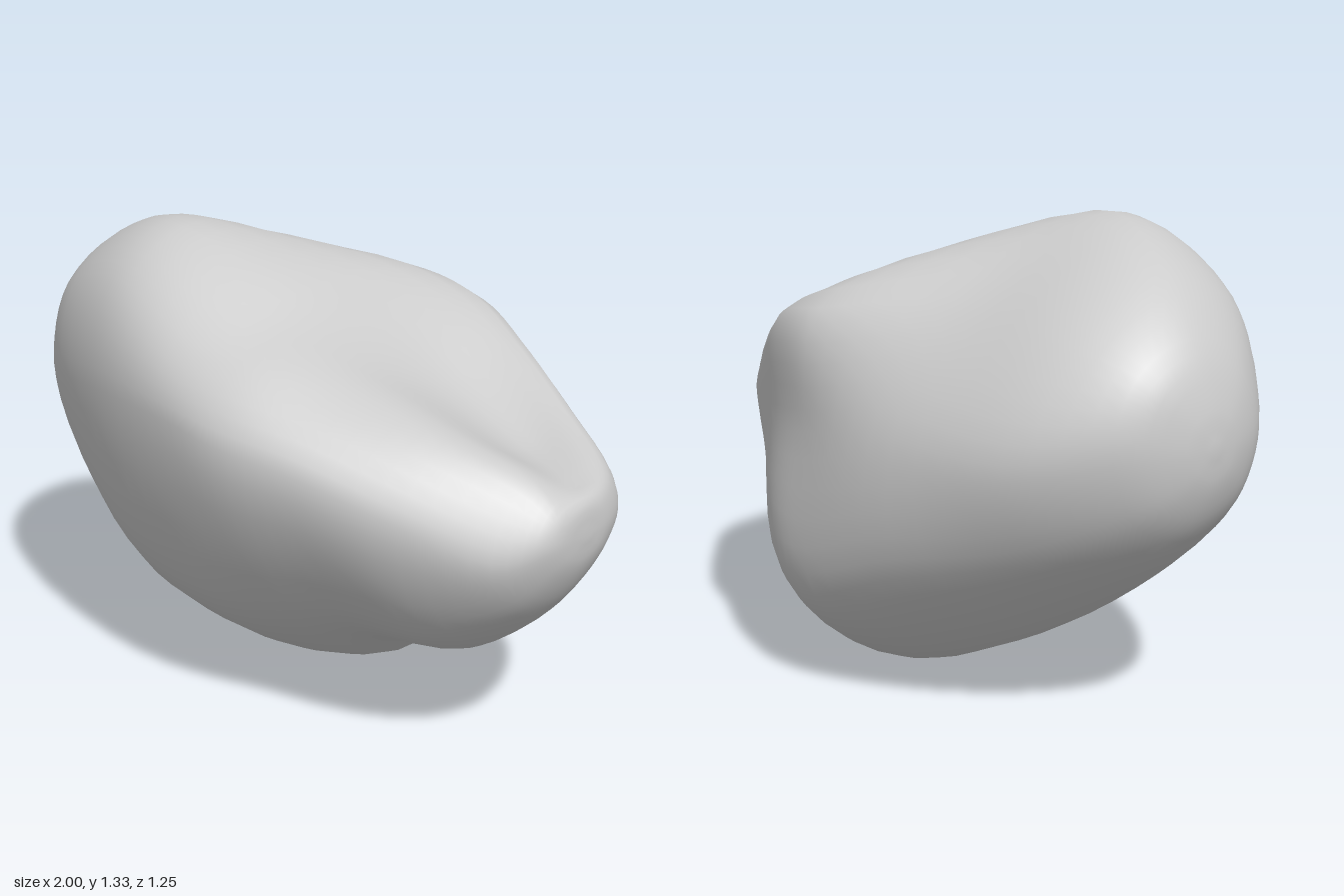
import * as THREE from 'three';

// Sections along x. Each lists eight (z, y) points running
// front, top front, top, top back, back, bottom back, bottom, bottom front.
const sections = [
  { x: -0.7, p: [0.41, 0.85, 0.34, 1.12, 0.07, 1.24, -0.27, 1.07, -0.45, 0.77, -0.35, 0.5, -0.03, 0.36, 0.29, 0.51] },
  { x: -0.35, p: [0.55, 0.9, 0.45, 1.2, 0.19, 1.33, -0.28, 1.13, -0.56, 0.79, -0.54, 0.4, -0.15, 0.14, 0.38, 0.31] },
  { x: 0, p: [0.61, 0.9, 0.49, 1.09, 0.12, 1.22, -0.52, 1.08, -0.58, 0.74, -0.6, 0.28, -0.18, 0, 0.43, 0.29] },
  { x: 0.2, p: [0.615, 0.87, 0.42, 1.06, -0.07, 1.07, -0.51, 1.05, -0.56, 0.72, -0.56, 0.32, -0.18, 0.03, 0.4, 0.31] },
  { x: 0.42, p: [0.56, 0.83, 0.32, 1, -0.1, 0.92, -0.42, 0.97, -0.47, 0.7, -0.41, 0.39, -0.1, 0.19, 0.36, 0.36] },
  { x: 0.68, p: [0.46, 0.74, 0.27, 0.92, -0.06, 0.82, -0.28, 0.87, -0.34, 0.69, -0.23, 0.46, 0.05, 0.28, 0.33, 0.4] },
  { x: 0.9, p: [0.33, 0.66, 0.2, 0.83, 0.04, 0.8, -0.14, 0.79, -0.2, 0.68, -0.11, 0.55, 0.07, 0.46, 0.25, 0.51] },
];

// Elliptical section for the rounded ends
function oval(x, z, y, rz, ry) {
  const p = [];
  for (let k = 0; k < 8; k++) {
    const a = (k * Math.PI) / 4;
    p.push(z + rz * Math.cos(a), y + ry * Math.sin(a));
  }
  return { x, p };
}

// Skin a closed smooth surface over the sections
function loft(list, along, around) {
  const columns = [];
  for (let k = 0; k < 8; k++) {
    columns.push(new THREE.CatmullRomCurve3(
      list.map((s) => new THREE.Vector3(s.x, s.p[2 * k + 1], s.p[2 * k]))));
  }
  const positions = [], index = [];
  for (let i = 0; i <= along; i++) {
    const ring = new THREE.CatmullRomCurve3(columns.map((c) => c.getPoint(i / along)), true);
    for (let j = 0; j < around; j++) positions.push(...ring.getPoint(j / around).toArray());
  }
  // the first and last rings shrink to a point and need only one triangle per step
  for (let i = 0; i < along; i++) {
    for (let j = 0; j < around; j++) {
      const a = i * around + j, b = i * around + (j + 1) % around;
      const c = a + around, d = b + around;
      if (i > 0) index.push(a, c, b);
      if (i < along - 1) index.push(b, c, d);
    }
  }
  const geometry = new THREE.BufferGeometry();
  geometry.setAttribute('position', new THREE.Float32BufferAttribute(positions, 3));
  geometry.setIndex(index);
  geometry.computeVertexNormals();
  // give the points gathered at each end one shared normal
  const normal = geometry.attributes.normal;
  for (let j = 0; j < around; j++) {
    normal.setXYZ(j, -1, 0, 0);
    normal.setXYZ(along * around + j, 1, 0, 0);
  }
  return geometry;
}

export function createModel() {
  const group = new THREE.Group();
  group.name = 'rock';
  const list = [
    oval(-1, 0, 0.8, 0, 0),
    oval(-0.985, 0, 0.8, 0.1, 0.11),
    oval(-0.92, -0.01, 0.81, 0.24, 0.25),
    ...sections,
    oval(0.985, 0.09, 0.69, 0.13, 0.09),
    oval(1, 0.08, 0.69, 0, 0),
  ];
  const boulder = new THREE.Mesh(loft(list, 48, 48), new THREE.MeshStandardMaterial({ color: 0xcccccc }));
  boulder.name = 'boulder';
  group.add(boulder);
  return group;
}
